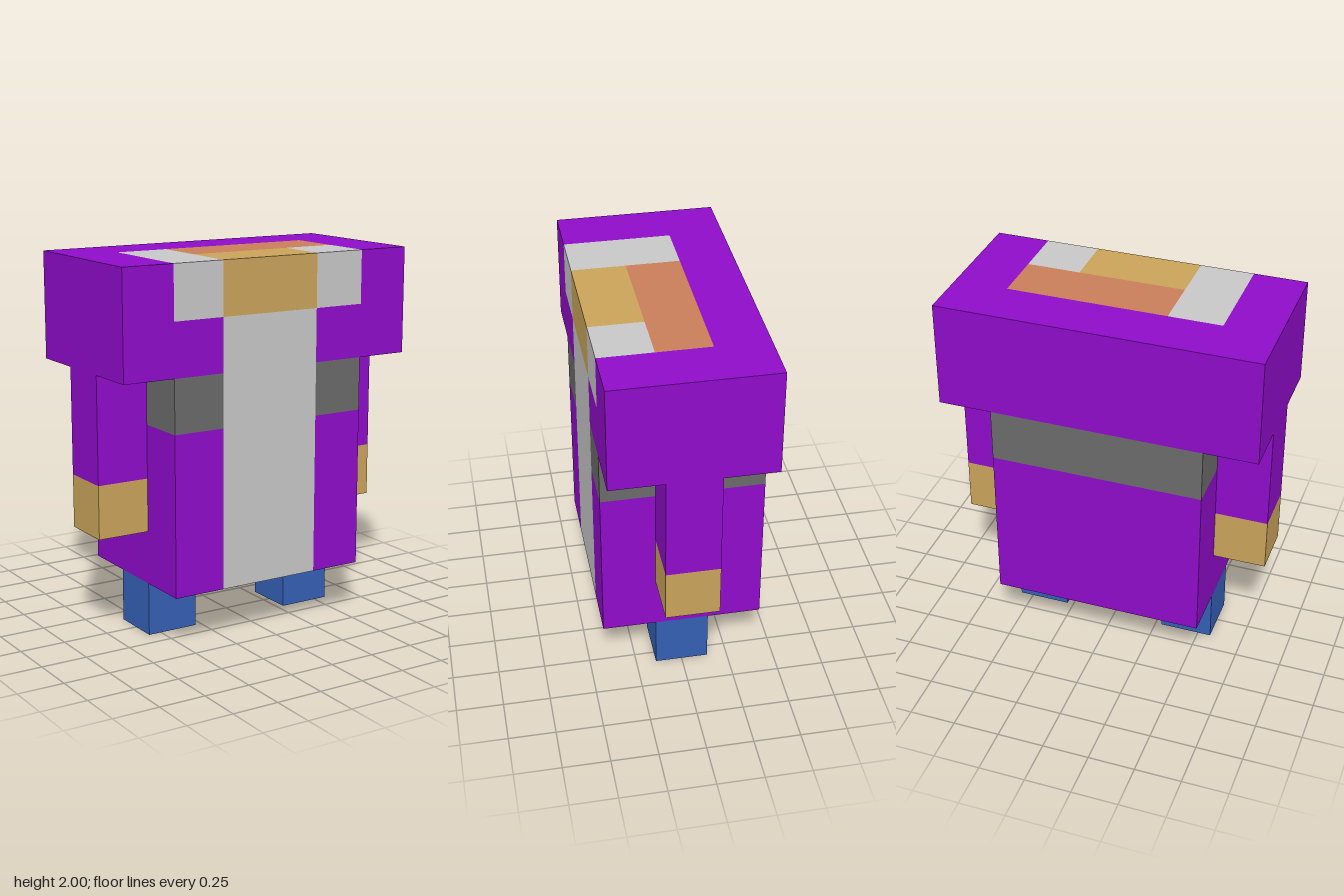
import * as THREE from 'three';

const U = 2 / 7; // one block

function mat(name, color) {
  const m = new THREE.MeshStandardMaterial({ color });
  m.name = name;
  return m;
}

export function createModel() {
  const purple = mat('purple cloth', 0x8f0cc9);
  const beard = mat('light grey hair', 0xc7c7c7);
  const beltGrey = mat('dark grey belt', 0x6a6a6a);
  const skin = mat('tan skin', 0xc9a35a);
  const scalp = mat('terracotta', 0xc97e5a);
  const blue = mat('blue', 0x345fb4);

  const model = new THREE.Group();
  model.name = 'blockFigure';

  // Box between block coordinates: x 0..6, y 0..7, z 0 (back)..3 (front)
  function block(name, material, [x0, x1], [y0, y1], [z0, z1]) {
    const geo = new THREE.BoxGeometry((x1 - x0) * U, (y1 - y0) * U, (z1 - z0) * U);
    const mesh = new THREE.Mesh(geo, material);
    mesh.position.set(((x0 + x1) / 2 - 3) * U, ((y0 + y1) / 2) * U, ((z0 + z1) / 2 - 1.5) * U);
    mesh.name = name;
    model.add(mesh);
  }

  // The same box on both sides
  function pair(name, material, [x0, x1], y, z) {
    block(name + 'Right', material, [x0, x1], y, z);
    block(name + 'Left', material, [6 - x1, 6 - x0], y, z);
  }

  // Legs, arms and hands
  pair('leg', blue, [1, 2], [0, 1], [1, 2]);
  pair('hand', skin, [0, 1], [2, 3], [1, 2]);
  pair('sleeve', purple, [0, 1], [3, 5], [1, 2]);

  // Robe: back wall and side walls around a hollow middle
  block('robeBack', purple, [1, 5], [1, 4], [0, 1]);
  pair('robeSide', purple, [1, 2], [1, 4], [1, 3]);

  // Belt
  block('beltBack', beltGrey, [1, 5], [4, 5], [0, 1]);
  pair('beltSide', beltGrey, [1, 2], [4, 5], [1, 3]);

  // Long beard down the front
  block('beard', beard, [2, 4], [1, 6], [2, 3]);

  // Hood
  block('hoodBack', purple, [0, 6], [5, 7], [0, 1]);
  pair('hoodSide', purple, [0, 1], [5, 7], [1, 3]);
  pair('hoodCheek', purple, [1, 2], [5, 6], [1, 3]);

  // Face, hair and crown
  block('face', skin, [2, 4], [6, 7], [2, 3]);
  pair('hairFront', beard, [1, 2], [6, 7], [2, 3]);
  block('hairTop', beard, [1, 2], [6, 7], [1, 2]);
  block('crown', scalp, [2, 5], [6, 7], [1, 2]);

  return model;
}
